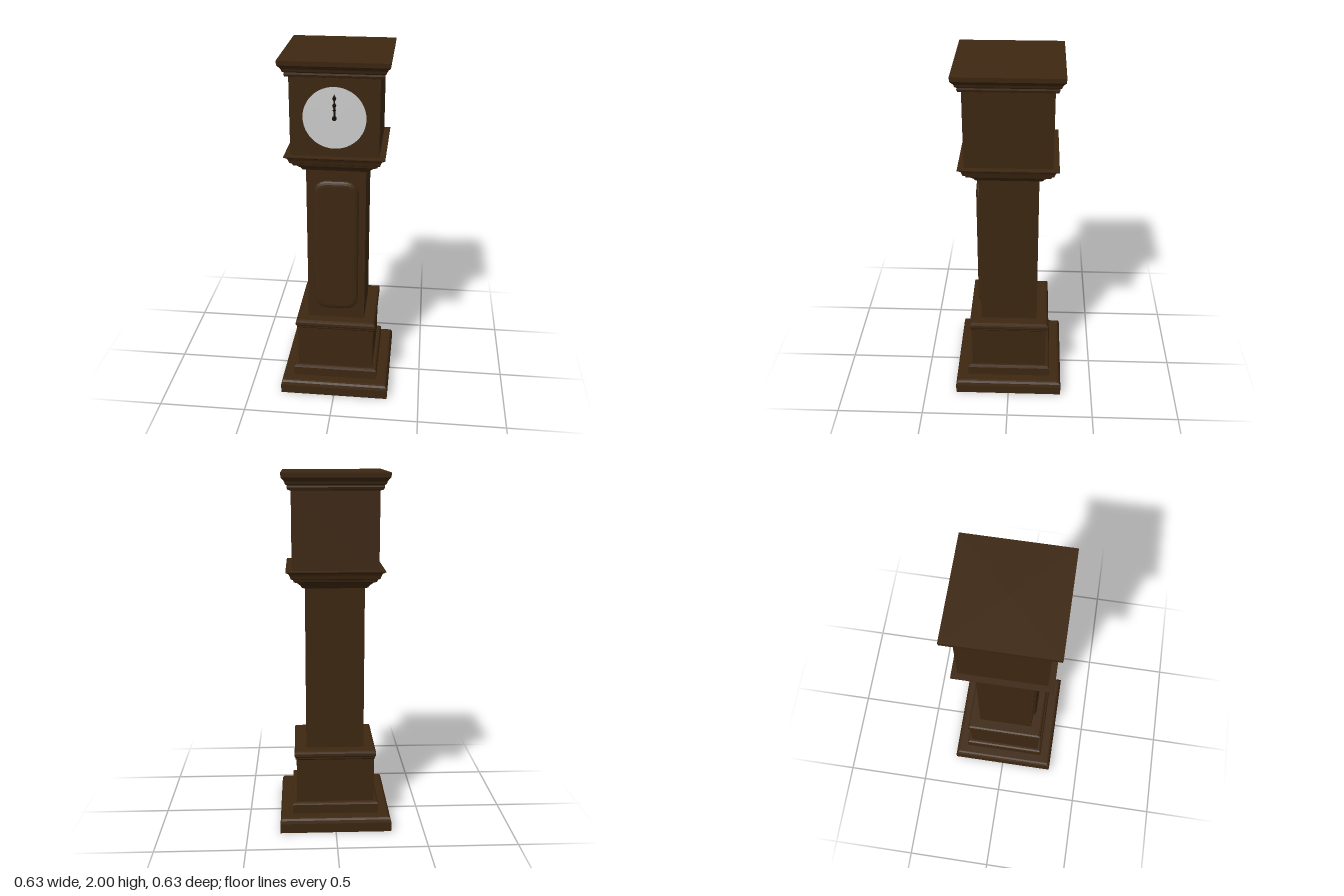
import * as THREE from 'three';

const wood = new THREE.MeshStandardMaterial({ color: 0x3d2711 });
wood.name = 'dark wood';
const white = new THREE.MeshStandardMaterial({ color: 0xcccccc });
white.name = 'dial white';
const black = new THREE.MeshStandardMaterial({ color: 0x140c06 });
black.name = 'hand black';

const DIAL_Y = 1.697;

export function createModel() {
  const clock = new THREE.Group();
  clock.name = 'longcaseClock';

  const add = (name, geometry, material, x = 0, y = 0, z = 0) => {
    const mesh = new THREE.Mesh(geometry, material);
    mesh.name = name;
    mesh.position.set(x, y, z);
    clock.add(mesh);
    return mesh;
  };

  // Square section swept up a profile of [half width, height]
  const squareLoft = (name, profile) => {
    const pts = profile.map(([w, y]) => new THREE.Vector2(w * Math.SQRT2, y));
    pts.unshift(new THREE.Vector2(0, pts[0].y));
    pts.push(new THREE.Vector2(0, pts[pts.length - 1].y));
    const g = new THREE.LatheGeometry(pts, 4, Math.PI / 4).toNonIndexed();
    g.computeVertexNormals();
    return add(name, g, wood);
  };

  // Plinth with rounded foot, step and top moulding
  squareLoft('plinth', [
    [0.315, 0], [0.315, 0.055], [0.311, 0.072], [0.303, 0.082], [0.293, 0.085],
    [0.245, 0.085], [0.245, 0.138], [0.241, 0.146], [0.232, 0.15], [0.22, 0.15],
    [0.22, 0.405], [0.226, 0.412], [0.226, 0.42], [0.231, 0.428],
    [0.231, 0.443], [0.227, 0.453], [0.217, 0.457],
  ]);

  squareLoft('trunk', [[0.163, 0.45], [0.163, 1.39]]);

  // Flared moulding between trunk and hood
  squareLoft('hoodMoulding', [
    [0.163, 1.38], [0.178, 1.385], [0.19, 1.402], [0.205, 1.416], [0.224, 1.425],
    [0.228, 1.437], [0.24, 1.443], [0.245, 1.46], [0.251, 1.472],
    [0.267, 1.482], [0.267, 1.487],
  ]);

  squareLoft('hood', [[0.234, 1.48], [0.234, 1.92]]);

  squareLoft('cornice', [
    [0.234, 1.907], [0.25, 1.912], [0.255, 1.925], [0.253, 1.934], [0.263, 1.942],
    [0.267, 1.955], [0.276, 1.967], [0.284, 1.976], [0.286, 2], 
  ]);

  // Raised trunk door with rounded corners and bevelled edge
  const w = 0.095, b = 0.55, t = 1.29, r = 0.05;
  const door = new THREE.Shape();
  door.moveTo(-w + r, b);
  door.lineTo(w - r, b);
  door.quadraticCurveTo(w, b, w, b + r);
  door.lineTo(w, t - r);
  door.quadraticCurveTo(w, t, w - r, t);
  door.lineTo(-w + r, t);
  door.quadraticCurveTo(-w, t, -w, t - r);
  door.lineTo(-w, b + r);
  door.quadraticCurveTo(-w, b, -w + r, b);
  add('trunkDoor', new THREE.ExtrudeGeometry(door, {
    depth: 0.001, bevelThickness: 0.018, bevelSize: 0.03, bevelSegments: 4, curveSegments: 6,
  }), wood, 0, 0, 0.164);

  // Dial
  add('dial', new THREE.CircleGeometry(0.165, 48), white, 0, DIAL_Y, 0.2355);

  // Both hands point straight up: a long slim one over a shorter broad one
  const hand = (length, width, bulb) => {
    const s = new THREE.Shape();
    const half = [[width, 0], [width, length * 0.42], [bulb, length * 0.5], [width, length * 0.58],
      [width, length * 0.72], [bulb * 1.2, length * 0.82], [0, length]];
    s.moveTo(-width, 0);
    half.forEach(([x, y]) => s.lineTo(x, y));
    half.slice(0, -1).reverse().forEach(([x, y]) => s.lineTo(-x, y));
    return new THREE.ExtrudeGeometry(s, { depth: 0.002, bevelEnabled: false });
  };
  add('hourHand', hand(0.085, 0.005, 0.009), black, 0, DIAL_Y, 0.237);
  add('minuteHand', hand(0.128, 0.004, 0.009), black, 0, DIAL_Y, 0.24);
  const hub = add('handHub', new THREE.CylinderGeometry(0.012, 0.012, 0.009, 16), black, 0, DIAL_Y, 0.2395);
  hub.rotation.x = Math.PI / 2;

  return clock;
}
